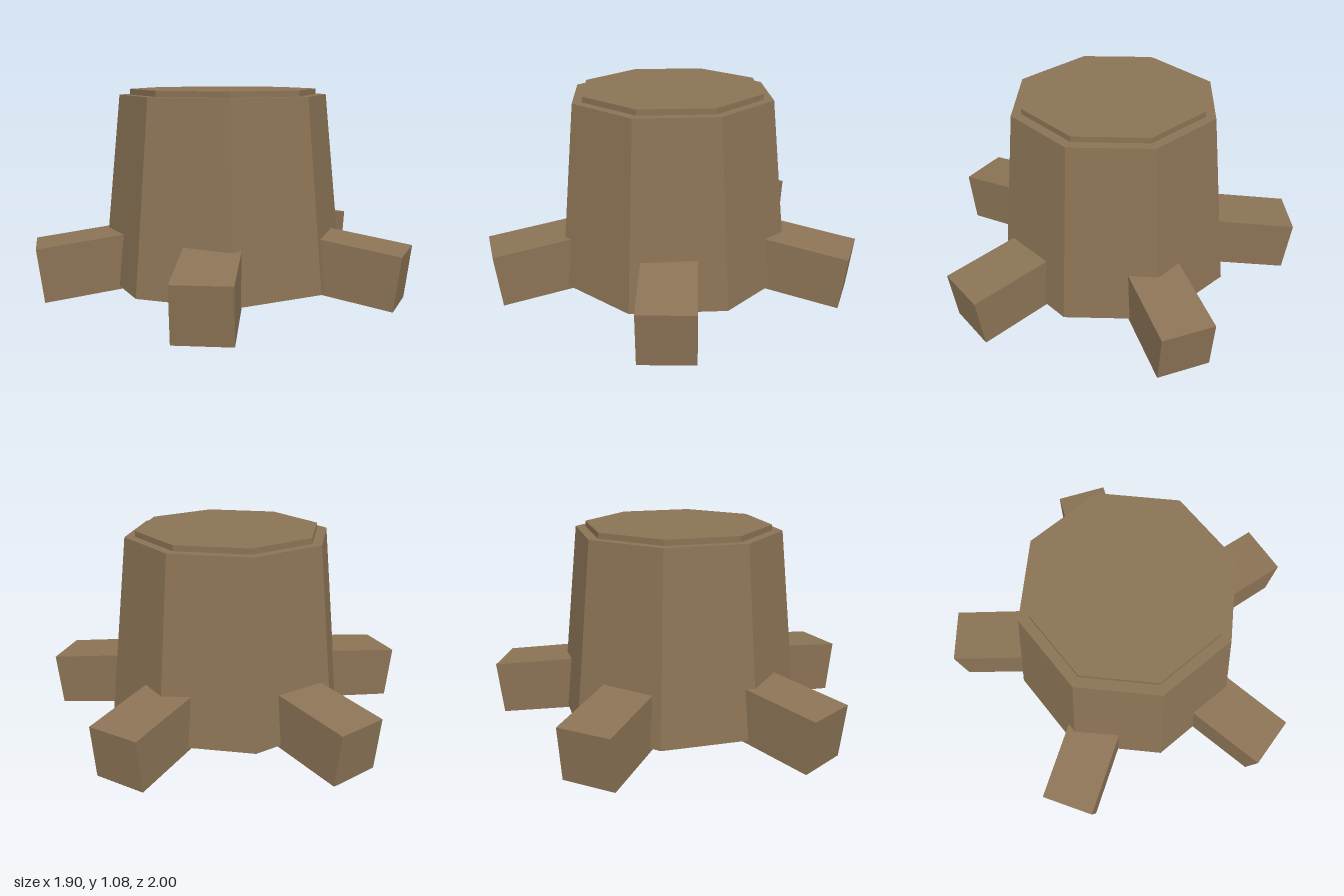
import * as THREE from 'three';

export function createModel() {
  const bark = new THREE.MeshStandardMaterial({ color: 0x8b7355, flatShading: true });
  bark.name = 'bark brown';

  const stump = new THREE.Group();
  stump.name = 'treeStump';
  stump.position.x = -0.055; // five uneven roots shift the trunk off centre

  // Eight-sided solid standing between two heights
  const addPrism = (name, topRadius, bottomRadius, y0, y1) => {
    const mesh = new THREE.Mesh(
      new THREE.CylinderGeometry(topRadius, bottomRadius, y1 - y0, 8), bark);
    mesh.name = name;
    mesh.position.y = (y0 + y1) / 2;
    stump.add(mesh);
  };
  addPrism('trunk', 0.555, 0.655, 0.065, 1.05);
  addPrism('cutTop', 0.5, 0.5, 1.05, 1.08);

  // Five square roots, sloping outward to the ground
  const length = 0.6, size = 0.284, slope = 0.125;
  const rootGeometry = new THREE.BoxGeometry(length, size, size);
  rootGeometry.translate(-length / 2, 0, 0); // pivot on the outer end
  rootGeometry.rotateZ(-slope);
  rootGeometry.translate(0.987, (size / 2) * Math.cos(slope), 0);
  for (let i = 0; i < 5; i++) {
    const root = new THREE.Mesh(rootGeometry, bark);
    root.name = `root${i + 1}`;
    root.rotation.y = (i * Math.PI * 2) / 5;
    stump.add(root);
  }

  const model = new THREE.Group();
  model.name = 'model';
  model.add(stump);
  return model;
}
